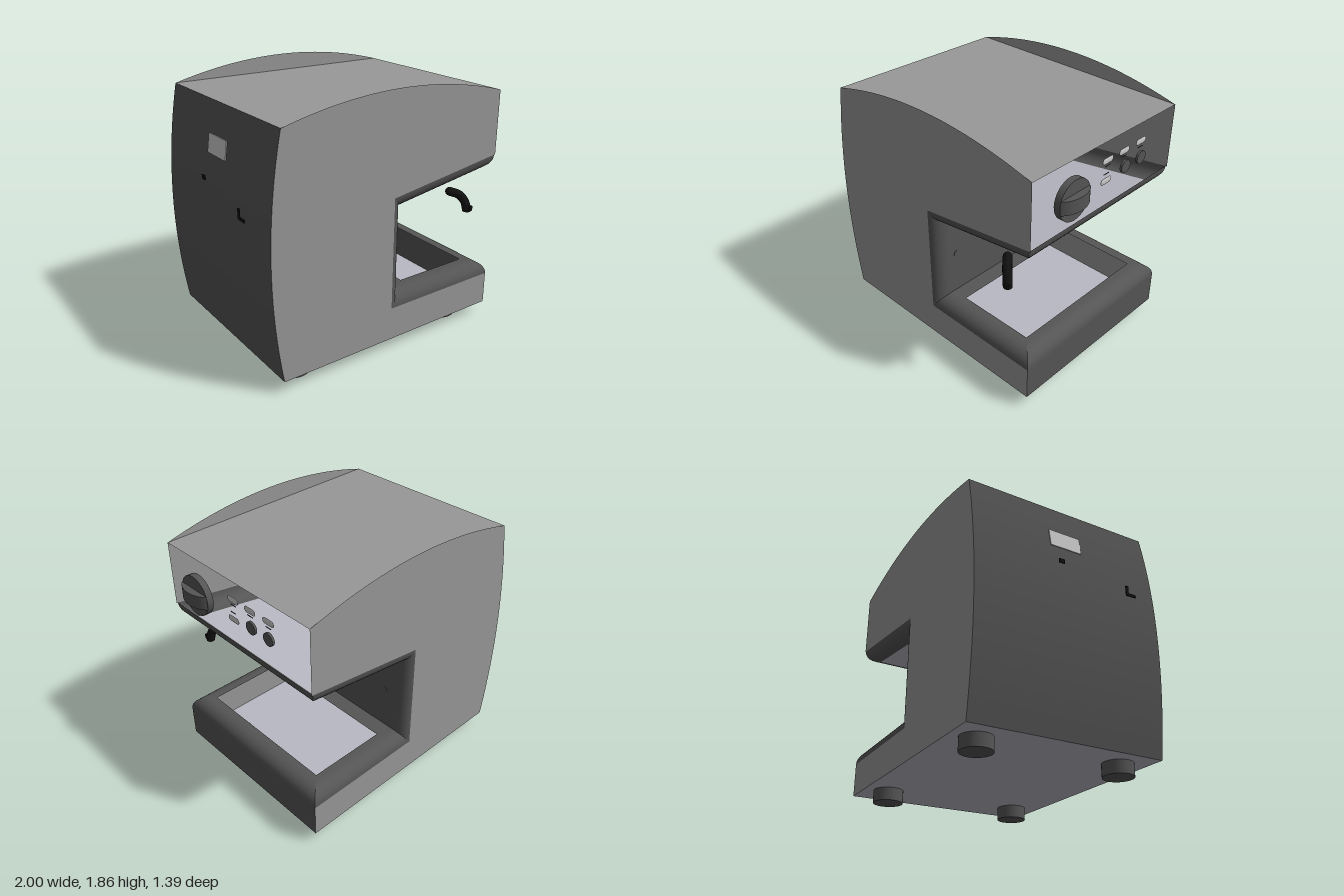
import * as THREE from 'three';

const material = (color) => new THREE.MeshStandardMaterial({ color, side: THREE.DoubleSide });
const light = material(0x989898);
const dark = material(0x555555);
const bluish = material(0xb9b9c4);
const black = material(0x111111);
const white = material(0xffffff);
const pale = material(0xcccccc);

const W = 0.695; // half width of the body
const R = 0.1;   // radius of the rounded opening edge

// Smooth surface ruled between two equally long lists of points
function ruled(a, b) {
  const g = new THREE.BufferGeometry().setFromPoints([...a, ...b]);
  const n = a.length, index = [];
  for (let i = 0; i < n - 1; i++) index.push(i, i + 1, n + i, i + 1, n + i + 1, n + i);
  g.setIndex(index);
  g.computeVertexNormals();
  return g;
}

// Sheet that follows an [x, y] path and spans from -half to +half in z
function sheet(path, half) {
  const at = (z) => path.map(([x, y]) => new THREE.Vector3(x, y, z));
  return ruled(at(half), at(-half));
}

// Closed rectangle outline, used for a shape or a hole
function rectangle(Type, x0, x1, half) {
  return new Type([[x0, -half], [x1, -half], [x1, half], [x0, half]].map((p) => new THREE.Vector2(...p)));
}

export function createModel() {
  const model = new THREE.Group();
  const add = (name, geometry, mat, x = 0, y = 0, z = 0, parent = model) => {
    const mesh = new THREE.Mesh(geometry, mat);
    mesh.name = name;
    mesh.position.set(x, y, z);
    parent.add(mesh);
    return mesh;
  };

  // Thin side plates with bowed top and back, and a C-shaped opening
  const side = new THREE.Shape();
  side.moveTo(-0.875, 0.09);
  [[0.9, 0.09], [0.9, 0.33], [-0.01, 0.33], [-0.01, 1.14], [0.89, 1.265], [0.9, 1.265], [0.9, 1.73]]
    .forEach(([x, y]) => side.lineTo(x, y));
  side.quadraticCurveTo(0.02, 1.98, -0.855, 1.75);
  side.quadraticCurveTo(-1.025, 0.95, -0.875, 0.09);
  for (const s of [1, -1]) add('sidePlate', new THREE.ShapeGeometry(side, 24), light, 0, 0, s * W);

  // Shell sheets between the side plates; the head front stays open
  const backCurve = new THREE.QuadraticBezierCurve(
    new THREE.Vector2(-0.855, 1.75), new THREE.Vector2(-1.025, 0.95), new THREE.Vector2(-0.875, 0.09));
  add('backPanel', sheet(backCurve.getPoints(24).map((p) => [p.x, p.y]), W), dark);
  add('topPanel', sheet([[0.9, 1.73], [-0.855, 1.75]], W), light);
  add('baseFront', sheet([[0.9, 0.09], [0.9, 0.33]], W), dark);
  add('bottomPlate', sheet([[-0.875, 0.09], [0.9, 0.09]], W), bluish);
  add('cavityBack', sheet([[0.065, 0.43], [0.065, 1.05]], W - R), dark);
  add('headUnderside', sheet([[0.065, 1.05], [0.8, 1.16]], W - R), bluish);

  // Tray deck framing the open drip well
  const deck = rectangle(THREE.Shape, 0.065, 0.8, W - R);
  deck.holes.push(rectangle(THREE.Path, 0.185, 0.76, 0.555));
  add('trayDeck', new THREE.ShapeGeometry(deck).rotateX(-Math.PI / 2), dark, 0, 0.43, 0);

  // Rounded rim: a loop of eight corners swept through a quarter turn
  const rows = [];
  for (let i = 0; i <= 8; i++) {
    const a = (i / 8) * Math.PI / 2;
    const s = Math.sin(a), e = 1 - Math.cos(a), z = W - R + R * s;
    const half = [
      [0.8 + 0.1 * s, 0.43 - 0.1 * e],
      [0.065 - 0.075 * e, 0.43 - 0.1 * e],
      [0.065 - 0.075 * e, 1.05 + 0.09 * e],
      [0.8 + 0.09 * s, 1.16 + 0.105 * e],
    ];
    rows.push([
      ...half.map(([x, y]) => new THREE.Vector3(x, y, z)),
      ...half.reverse().map(([x, y]) => new THREE.Vector3(x, y, -z)),
    ]);
  }
  const rim = new THREE.Group();
  rim.name = 'openingRim';
  model.add(rim);
  for (let k = 0; k < 8; k++) {
    const column = (j) => rows.map((row) => row[j % 8]);
    add('rimSegment', ruled(column(k), column(k + 1)), dark, 0, 0, 0, rim);
  }

  // Feet
  for (const x of [-0.68, 0.64])
    for (const z of [0.495, -0.525])
      add('foot', new THREE.CylinderGeometry(0.105, 0.105, 0.09, 32), dark, x, 0.045, z);

  // Short round part with its axis along x
  const disc = (name, r, depth, x, y, z) =>
    add(name, new THREE.CylinderGeometry(r, r, depth, 32).rotateZ(Math.PI / 2), dark, x, y, z);

  // Rotary knob with a bowed grip
  disc('knobBase', 0.14, 0.045, 0.9225, 1.49, 0.365);
  const bow = new THREE.Shape();
  bow.moveTo(0, -0.135);
  bow.bezierCurveTo(0.07, -0.075, 0.07, 0.075, 0, 0.135);
  const grip = new THREE.ExtrudeGeometry(bow, { depth: 0.095, bevelEnabled: false, curveSegments: 16 });
  grip.translate(0, 0, -0.0475).rotateX(Math.PI / 2);
  add('knobGrip', grip, dark, 0.945, 1.49, 0.365);

  // Push buttons, and flat indicator lamps with rounded ends
  for (const z of [-0.17, -0.335]) disc('button', 0.045, 0.016, 0.907, 1.485, z);
  const lamp = new THREE.CapsuleGeometry(0.022, 0.061, 6, 16).rotateX(Math.PI / 2).scale(0.25, 1, 1);
  for (const [y, z] of [[1.597, 0.01], [1.597, -0.157], [1.6, -0.33], [1.455, 0.015]]) {
    add('lamp', lamp, white, 0.901, y, z);
    const markY = y < 1.5 ? 1.505 : 1.56;
    add('lampMark', new THREE.BoxGeometry(0.004, 0.005, 0.05), dark, 0.901, markY, z);
  }

  // Bolts on the wall of the opening
  for (const z of [0.52, -0.5]) disc('bolt', 0.025, 0.004, 0.066, 0.74, z);

  // Bent steam spout with a collar at its tip
  const spoutPath = new THREE.CatmullRomCurve3([
    [0.6, 1.015, 0.57], [0.645, 0.995, 0.62], [0.675, 0.945, 0.65], [0.688, 0.885, 0.66],
  ].map((p) => new THREE.Vector3(...p)));
  add('spout', new THREE.TubeGeometry(spoutPath, 20, 0.031, 16), black);
  add('spoutInlet', new THREE.SphereGeometry(0.031, 16, 10), black, 0.6, 1.015, 0.57);
  add('spoutTip', new THREE.CylinderGeometry(0.03, 0.03, 0.03, 16), black, 0.688, 0.89, 0.66);
  add('spoutCatch', new THREE.BoxGeometry(0.03, 0.035, 0.02), black, 0.695, 0.9, 0.685);

  // Rating plate and small fittings on the back
  const plate = add('backPlate', new THREE.BoxGeometry(0.006, 0.13, 0.24), pale, -0.906, 1.475, 0);
  plate.rotation.z = -0.142;
  add('backClip', new THREE.BoxGeometry(0.008, 0.03, 0.04), black, -0.975, 1.262, -0.08);
  add('backHook', new THREE.BoxGeometry(0.008, 0.07, 0.02), black, -0.996, 1.18, 0.42);
  add('backHookFoot', new THREE.BoxGeometry(0.008, 0.02, 0.075), black, -0.996, 1.152, 0.45);

  return model;
}
